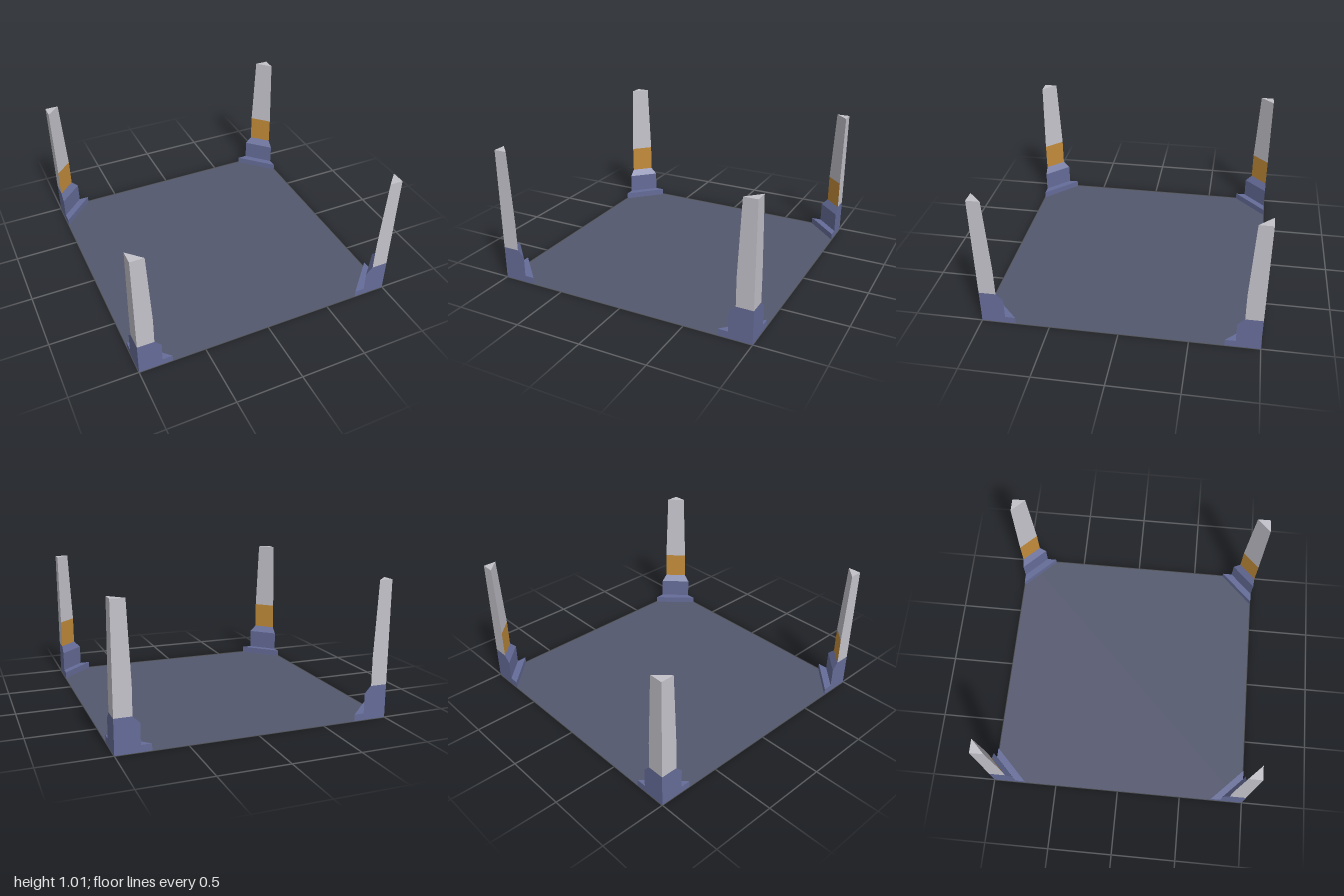
import * as THREE from 'three';

const mat = (name, color, side = THREE.FrontSide) => {
  const m = new THREE.MeshStandardMaterial({ color, side });
  m.name = name;
  return m;
};

// Stack of corner triangles at (+x, +z): profile lists [leg length, height].
// The inner diagonal face of segment `accent` uses the second material.
function cornerLoft(profile, { cap = false, accent = -1 } = {}) {
  const pos = [];
  const geo = new THREE.BufferGeometry();
  const ring = ([leg, y]) => [[1, y, 1], [1, y, 1 - leg], [1 - leg, y, 1]];
  const tri = (a, b, c) => pos.push(...a, ...b, ...c);
  for (let s = 0; s < profile.length - 1; s++) {
    const lo = ring(profile[s]), hi = ring(profile[s + 1]);
    for (let i = 0; i < 3; i++) {
      const j = (i + 1) % 3;
      geo.addGroup(pos.length / 3, 6, s === accent && i === 1 ? 1 : 0);
      tri(lo[i], lo[j], hi[j]);
      tri(lo[i], hi[j], hi[i]);
    }
  }
  if (cap) {
    geo.addGroup(pos.length / 3, 3, 0);
    tri(...ring(profile[profile.length - 1]));
  }
  geo.setAttribute('position', new THREE.Float32BufferAttribute(pos, 3));
  geo.computeVertexNormals();
  return geo;
}

export function createModel() {
  const model = new THREE.Group();
  model.name = 'arenaFloorWithCornerPosts';

  const floorMat = mat('slateFloor', 0x54586e, THREE.DoubleSide);
  const baseMat = mat('blueBase', 0x656c98);
  const postMat = mat('paleGrey', 0xc3c2ca);
  const panelMat = mat('ochrePanel', 0xc38c3a);

  // Square floor sheet
  const floor = new THREE.Mesh(new THREE.PlaneGeometry(2, 2).rotateX(-Math.PI / 2), floorMat);
  floor.name = 'floor';
  model.add(floor);

  // Stepped plinth with a chamfered top, and tapered shaft with an inner panel
  const baseGeo = cornerLoft([[0.25, 0], [0.25, 0.05], [0.175, 0.05], [0.175, 0.2], [0.125, 0.25]]);
  const shaftGeo = cornerLoft([[0.125, 0.25], [0.125, 0.46], [0.1, 1.013]], { cap: true, accent: 0 });

  // One post in each corner
  ['frontLeft', 'backLeft', 'backRight', 'frontRight'].forEach((corner, k) => {
    const post = new THREE.Group();
    post.name = corner + 'Post';
    const base = new THREE.Mesh(baseGeo, [baseMat]);
    base.name = 'plinth';
    const shaft = new THREE.Mesh(shaftGeo, [postMat, panelMat]);
    shaft.name = 'shaft';
    post.add(base, shaft);
    post.rotation.y = k * Math.PI / 2;
    model.add(post);
  });

  return model;
}
